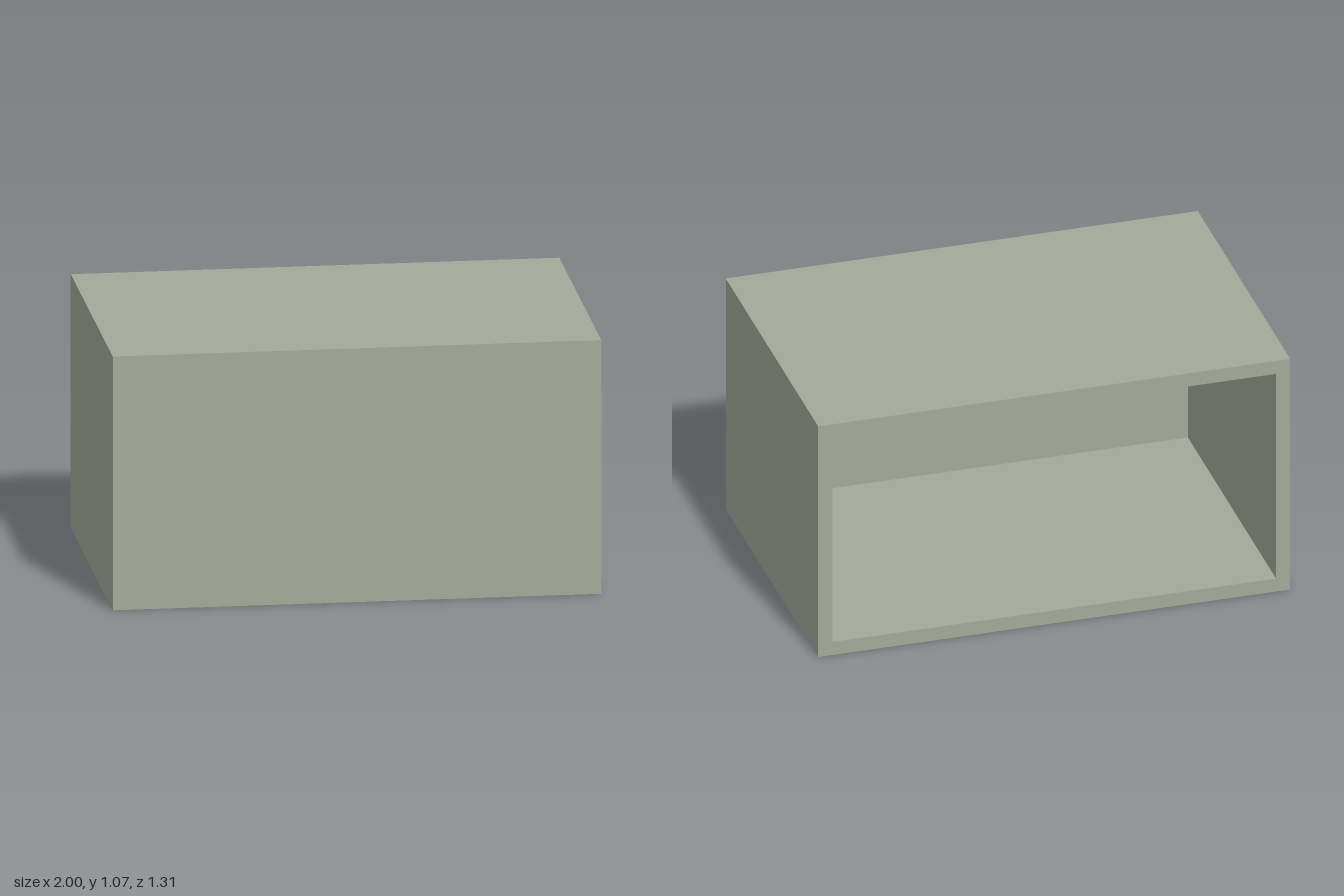
import * as THREE from 'three';

const W = 2, H = 1.066, D = 1.31, T = 0.06;

// Closed rectangle centred on x, from y0 to y1
function rect(PathType, halfW, y0, y1) {
  const p = new PathType();
  p.moveTo(-halfW, y0);
  p.lineTo(halfW, y0);
  p.lineTo(halfW, y1);
  p.lineTo(-halfW, y1);
  p.closePath();
  return p;
}

export function createModel() {
  const group = new THREE.Group();
  group.name = 'openBox';
  const paint = new THREE.MeshStandardMaterial({ color: 0xa4aa9a });
  paint.name = 'sage grey';

  // Sleeve: floor, roof and both sides, open at the back
  const outline = rect(THREE.Shape, W / 2, 0, H);
  outline.holes.push(rect(THREE.Path, W / 2 - T, T, H - T));
  const sleeve = new THREE.Mesh(
    new THREE.ExtrudeGeometry(outline, { depth: D, bevelEnabled: false }), paint);
  sleeve.name = 'sleeve';
  sleeve.position.z = -D / 2;
  group.add(sleeve);

  // Front panel set flush into the sleeve
  const panel = new THREE.Mesh(new THREE.BoxGeometry(W - 2 * T, H - 2 * T, T), paint);
  panel.name = 'frontPanel';
  panel.position.set(0, H / 2, D / 2 - T / 2);
  group.add(panel);

  return group;
}
